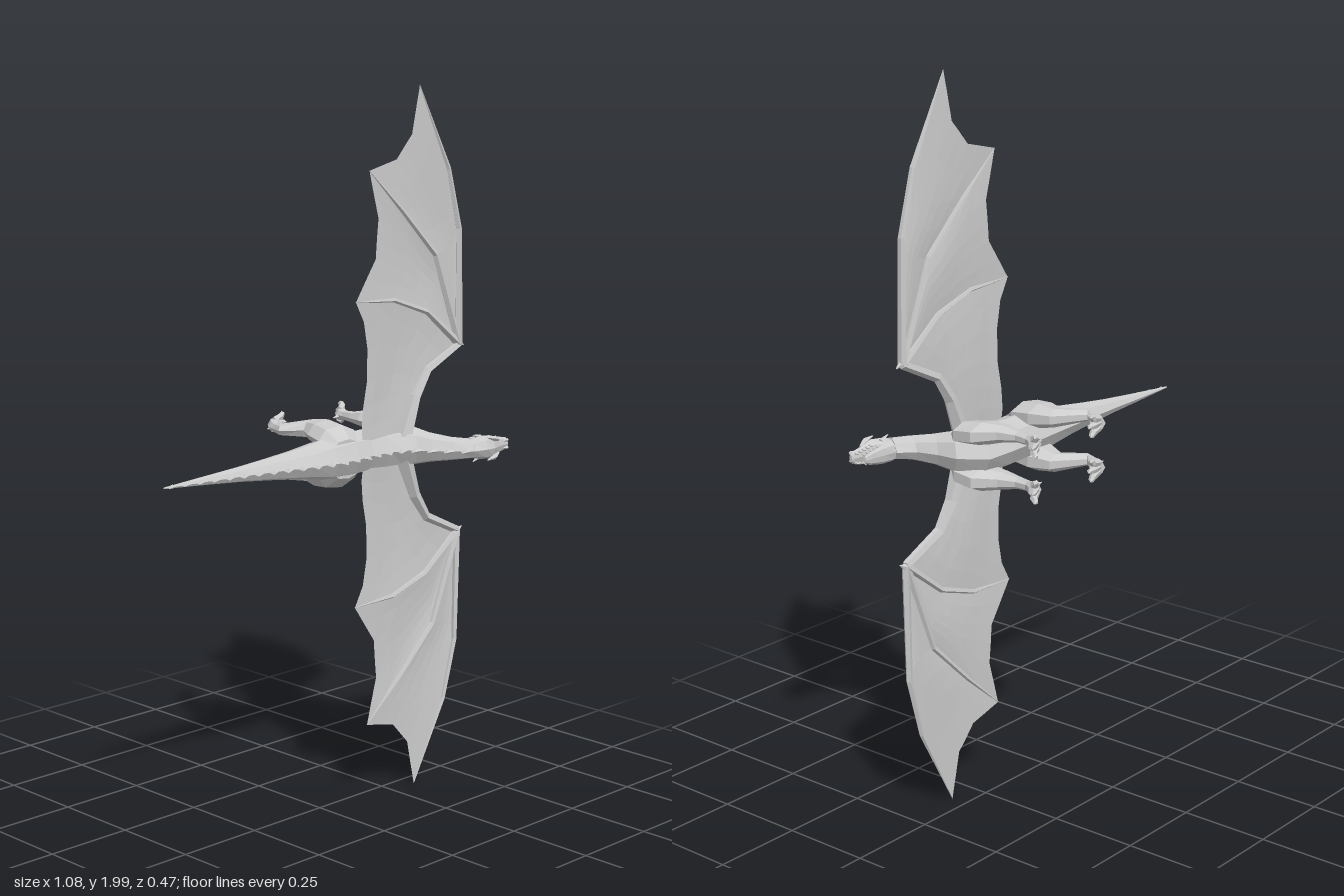
import * as THREE from 'three';

const V = (x, y, z) => new THREE.Vector3(x, y, z);
const mat = new THREE.MeshStandardMaterial({ color: 0xcccccc, flatShading: true });
const thinMat = new THREE.MeshStandardMaterial({ color: 0xcccccc, flatShading: true, side: THREE.DoubleSide });

// Skin a list of rings (equal point counts), capped at both ends and facing outward
function skin(rings) {
  const n = rings[0].length, pts = rings.flat(), idx = [];
  for (let i = 0; i < rings.length - 1; i++) {
    for (let j = 0; j < n; j++) {
      const a = i * n + j, b = i * n + (j + 1) % n;
      idx.push(a, b, a + n, b, b + n, a + n);
    }
  }
  const last = (rings.length - 1) * n;
  for (let j = 1; j < n - 1; j++) idx.push(0, j + 1, j, last, last + j, last + j + 1);
  let volume = 0;
  for (let i = 0; i < idx.length; i += 3) {
    volume += pts[idx[i]].dot(pts[idx[i + 1]].clone().cross(pts[idx[i + 2]]));
  }
  if (volume < 0) idx.reverse();
  const g = new THREE.BufferGeometry().setFromPoints(pts);
  g.setIndex(idx);
  g.computeVertexNormals();
  return g;
}

// Rows: [x1, z1, x2, z2, halfWidth, yCentre], two opposite edge points in the side plane
function loft(rows, sides = 8, s = 1) {
  return skin(rows.map(([x1, z1, x2, z2, w, y = 0]) => Array.from({ length: sides }, (_, j) => {
    const a = j / sides * Math.PI * 2, c = Math.cos(a) / 2;
    return V((x1 + x2) / 2 + c * (x1 - x2), s * (y + w * Math.sin(a)), (z1 + z2) / 2 + c * (z1 - z2));
  })));
}

// Tapered rod through points [x, y, z, radius]
function rod(points, sides = 5, s = 1) {
  const p = points.map(([x, y, z]) => V(x, s * y, z));
  return skin(p.map((c, i) => {
    const t = p[Math.min(i + 1, p.length - 1)].clone().sub(p[Math.max(i - 1, 0)]).normalize();
    const u = V(0, 0, 1).cross(t);
    if (u.length() < 0.1) u.set(0, 1, 0);
    u.normalize();
    const v = t.clone().cross(u), r = points[i][3];
    return Array.from({ length: sides }, (_, j) => {
      const a = j / sides * Math.PI * 2;
      return c.clone().addScaledVector(u, r * Math.cos(a)).addScaledVector(v, r * Math.sin(a));
    });
  }));
}

// Point on a polyline, equal parameter per segment
function at(line, t) {
  const f = t * (line.length - 1), i = Math.min(Math.floor(f), line.length - 2);
  return line[i].clone().lerp(line[i + 1], f - i);
}

// Coons patch between four polylines, sagging slightly in the middle
function patch(p, q, start, end, s) {
  const N = 6, pos = [], idx = [];
  for (let i = 0; i <= N; i++) {
    for (let j = 0; j <= N; j++) {
      const t = i / N, k = j / N;
      const c = at(p, t).lerp(at(q, t), k).add(at(start, k).lerp(at(end, k), t));
      c.sub(p[0].clone().lerp(q[0], k).lerp(p.at(-1).clone().lerp(q.at(-1), k), t));
      c.z -= 0.008 * Math.sin(Math.PI * k) * Math.sin(Math.PI * Math.min(t, 0.8));
      pos.push(V(c.x, s * c.y, c.z));
      if (i < N && j < N) {
        const a = i * (N + 1) + j, b = a + N + 1;
        idx.push(a, b, a + 1, a + 1, b, b + 1);
      }
    }
  }
  const g = new THREE.BufferGeometry().setFromPoints(pos);
  g.setIndex(idx);
  g.computeVertexNormals();
  return g;
}

export function createModel() {
  const model = new THREE.Group();
  const dragon = new THREE.Group();
  dragon.name = 'dragon';
  dragon.position.y = 1;
  model.add(dragon);
  const add = (name, g, m = mat) => {
    const mesh = new THREE.Mesh(g, m);
    mesh.name = name;
    dragon.add(mesh);
  };

  // Tail, trunk and neck: spine edge, belly edge, half width
  const body = [
    [-0.54, -0.017, -0.54, -0.023, 0.002], [-0.4, 0, -0.4, -0.033, 0.012],
    [-0.28, 0.018, -0.28, -0.04, 0.021], [-0.17, 0.04, -0.17, -0.048, 0.032],
    [-0.08, 0.063, -0.08, -0.057, 0.042], [0, 0.077, 0, -0.064, 0.055],
    [0.08, 0.076, 0.08, -0.072, 0.061], [0.15, 0.066, 0.15, -0.079, 0.06],
    [0.21, 0.068, 0.22, -0.083, 0.062], [0.255, 0.08, 0.32, -0.085, 0.06],
    [0.28, 0.1, 0.372, -0.015, 0.054], [0.305, 0.135, 0.376, 0.045, 0.042],
    [0.345, 0.185, 0.392, 0.105, 0.033], [0.385, 0.22, 0.43, 0.142, 0.028],
  ];
  add('body', loft(body, 8));

  // Row of back spikes leaning toward the tail
  const spine = body.map(([x, z]) => V(x, 0, z));
  const curve = new THREE.CurvePath();
  for (let i = 0; i < spine.length - 1; i++) curve.add(new THREE.LineCurve3(spine[i], spine[i + 1]));
  const count = 22;
  for (let i = 0; i < count; i++) {
    const back = curve.getPointAt((i + 0.2) / count), front = curve.getPointAt((i + 1) / count);
    const d = front.clone().sub(back).normalize(), h = 0.012 + 0.018 * Math.min(1, i / 8);
    const tip = back.clone().addScaledVector(V(-d.z, 0, d.x), h).addScaledVector(d, -0.002);
    const lift = 0.005;
    add('backSpike', loft([[back.x, back.z - lift, front.x, front.z - lift, 0.006],
      [tip.x, tip.z, tip.x + 0.001, tip.z, 0.0005]], 4));
  }

  // Head with open jaws
  add('skull', loft([
    [0.385, 0.221, 0.42, 0.15, 0.025], [0.43, 0.23, 0.44, 0.155, 0.033], [0.46, 0.23, 0.465, 0.178, 0.033],
    [0.49, 0.219, 0.49, 0.187, 0.025], [0.52, 0.213, 0.52, 0.19, 0.02], [0.535, 0.212, 0.535, 0.191, 0.017],
    [0.541, 0.206, 0.541, 0.196, 0.01]], 8));
  add('lowerJaw', loft([[0.425, 0.18, 0.425, 0.147, 0.027], [0.47, 0.171, 0.465, 0.151, 0.025],
    [0.51, 0.167, 0.51, 0.155, 0.017], [0.53, 0.168, 0.528, 0.159, 0.009]], 8));
  for (const s of [1, -1]) {
    add('brow', rod([[0.49, 0.018, 0.216, 0.003], [0.465, 0.026, 0.224, 0.008], [0.435, 0.032, 0.223, 0.002]], 4, s));
    add('cheekHorn', rod([[0.445, 0.026, 0.185, 0.009], [0.41, 0.038, 0.19, 0.001]], 4, s));
    add('nostril', rod([[0.515, 0.01, 0.208, 0.004], [0.533, 0.011, 0.211, 0.005], [0.54, 0.01, 0.207, 0.001]], 4, s));
    for (let i = 0; i < 5; i++) {
      const x = 0.479 + i * 0.013, y = 0.023 - i * 0.0024;
      add('upperTooth', rod([[x, y, 0.195, 0.004], [x, y, 0.177, 0.0005]], 4, s));
      add('lowerTooth', rod([[x - 0.007, y - 0.002, 0.163, 0.004], [x - 0.007, y - 0.002, 0.18, 0.0005]], 4, s));
    }
  }

  for (const s of [1, -1]) {
    // Legs: rear edge, front edge, half width, sideways centre
    add('hindLeg', loft([
      [0.01, 0.045, 0.1, 0.05, 0.02, 0.035], [-0.005, 0, 0.128, 0.012, 0.036, 0.052],
      [0.012, -0.06, 0.132, -0.05, 0.035, 0.059], [0.035, -0.1, 0.112, -0.112, 0.026, 0.062],
      [-0.02, -0.14, 0.022, -0.17, 0.016, 0.062], [-0.002, -0.185, 0.036, -0.185, 0.014, 0.061],
      [0.01, -0.215, 0.055, -0.203, 0.018, 0.061], [0.03, -0.238, 0.07, -0.214, 0.02, 0.061]], 7, s));
    add('foreLeg', loft([
      [0.27, 0.04, 0.33, 0.045, 0.02, 0.038], [0.255, 0, 0.362, 0.01, 0.032, 0.055],
      [0.24, -0.055, 0.365, -0.05, 0.032, 0.062], [0.243, -0.095, 0.315, -0.1, 0.024, 0.064],
      [0.254, -0.14, 0.293, -0.145, 0.016, 0.063], [0.266, -0.182, 0.295, -0.18, 0.014, 0.062],
      [0.267, -0.205, 0.305, -0.195, 0.018, 0.061], [0.285, -0.228, 0.315, -0.208, 0.019, 0.061]], 7, s));
    // Toes with claws
    for (const [x, z, ex, ez] of [[0.04, -0.222, 0.1, -0.23], [0.288, -0.212, 0.337, -0.234]]) {
      for (const k of [-1, 0, 1]) {
        const y = 0.061 + k * 0.011, ty = 0.061 + k * 0.026, cut = Math.abs(k) * 0.008;
        add('toe', rod([[x, y, z, 0.012], [(x + ex) / 2, (y + ty) / 2, (z + ez) / 2 - 0.002, 0.01],
          [ex - 0.014 - cut, ty, ez + 0.001, 0.008], [ex - cut, ty, ez - 0.007, 0.001]], 5, s));
      }
      add('heelClaw', rod([[x - 0.015, 0.058, z + 0.01, 0.008], [x - 0.04, 0.056, z + 0.014, 0.001]], 4, s));
    }

    // Wing: arm, three fingers and membranes
    const Z = 0.047;
    const line = (...xy) => xy.map(([x, y]) => V(x, y, Z));
    const arm = line([0.505, 0.27], [0.375, 0.21], [0.325, 0.14], [0.28, 0.03]);
    const fingers = [
      line([0.505, 0.27], [0.5, 0.595], [0.455, 0.765], [0.335, 0.996]),
      line([0.505, 0.27], [0.405, 0.53], [0.27, 0.66], [0.14, 0.775]),
      line([0.505, 0.27], [0.37, 0.375], [0.24, 0.418], [0.09, 0.425])];
    const root = line([0.28, 0.03], [0.12, 0.03]);
    const edges = [
      line([0.335, 0.996], [0.31, 0.865], [0.25, 0.8], [0.14, 0.775]),
      line([0.14, 0.775], [0.18, 0.645], [0.17, 0.535], [0.09, 0.425]),
      line([0.09, 0.425], [0.14, 0.34], [0.138, 0.2], [0.115, 0.09], [0.12, 0.03])];
    const wrist = [arm[0], arm[0]];
    add('wingMembrane', patch(fingers[0], fingers[1], wrist, edges[0], s), thinMat);
    add('wingMembrane', patch(fingers[1], fingers[2], wrist, edges[1], s), thinMat);
    add('wingMembrane', patch(fingers[2], root, arm, edges[2], s), thinMat);
    const bone = (pts, radii) => rod(pts.map((p, i) => [p.x, p.y, p.z, radii[i]]), 5, s);
    add('wingArm', bone(arm, [0.012, 0.014, 0.018, 0.026]));
    for (const f of fingers) add('wingFinger', bone(f, [0.012, 0.009, 0.007, 0.001]));
    add('wingClaw', rod([[0.495, 0.268, Z, 0.012], [0.512, 0.272, Z, 0.008], [0.528, 0.263, Z, 0.001]], 5, s));
  }
  return model;
}
